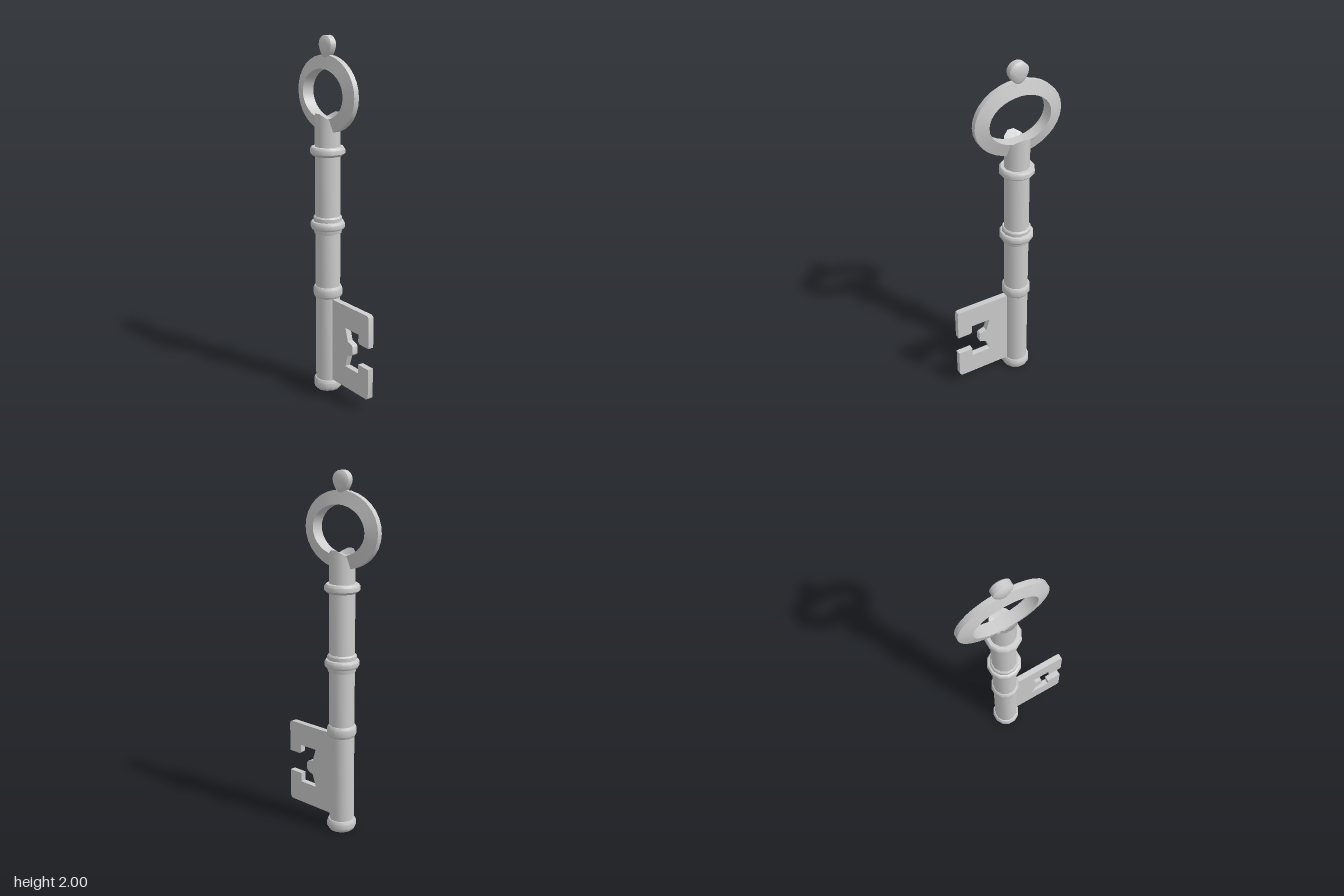
import * as THREE from 'three';
import { toCreasedNormals } from 'three/addons/utils/BufferGeometryUtils.js';

const SIDES = 12;
const AXIS_X = -0.07;
const material = new THREE.MeshStandardMaterial({ color: 0xcccccc });

function addMesh(group, name, geometry, x = 0, y = 0) {
  const mesh = new THREE.Mesh(toCreasedNormals(geometry, 0.62), material);
  mesh.name = name;
  mesh.position.set(x, y, 0);
  group.add(mesh);
}

// Turned part with twelve sides, a flat facing the front; profile is [radius, y]
function turned(profile) {
  const points = profile.map(([r, y]) => new THREE.Vector2(r, y));
  return new THREE.LatheGeometry(points, SIDES, Math.PI / SIDES);
}

// Skin over closed loops, each a function angle -> [x, y, z]
function loft(loops, segments) {
  const positions = [];
  const index = [];
  loops.forEach((loop, j) => {
    for (let i = 0; i < segments; i++) {
      positions.push(...loop((i / segments) * Math.PI * 2));
      if (j === loops.length - 1) continue;
      const a = j * segments + i;
      const b = j * segments + ((i + 1) % segments);
      index.push(a, b, b + segments, a, b + segments, a + segments);
    }
  });
  const geometry = new THREE.BufferGeometry();
  geometry.setAttribute('position', new THREE.Float32BufferAttribute(positions, 3));
  geometry.setIndex(index);
  return geometry;
}

// Shaft whose top is coped to a saddle, high at front and back
function shaftGeometry() {
  const geometry = turned([[0, 0.01], [0.07, 0.01], [0.07, 1.575], [0.036, 1.54], [0, 1.53]]);
  const p = geometry.attributes.position;
  for (let i = 0; i < p.count; i++) {
    if (p.getY(i) < 1.57) continue;
    const angle = Math.atan2(p.getX(i), p.getZ(i));
    p.setY(i, 1.575 + 0.023 * Math.cos(2 * angle));
  }
  return geometry;
}

// Flat toothed plate beside the lower shaft
function bitGeometry() {
  const outline = [
    [-0.07, 0.07], [0.3, 0.07], [0.312, 0.075], [0.317, 0.087],
    [0.317, 0.25], [0.23, 0.25], [0.23, 0.198], [0.115, 0.198],
    [0.137, 0.267], [0.175, 0.283], [0.182, 0.292], [0.182, 0.332], [0.175, 0.342],
    [0.137, 0.355], [0.115, 0.427], [0.23, 0.427], [0.23, 0.383], [0.24, 0.373],
    [0.317, 0.373], [0.317, 0.54], [0.312, 0.553], [0.3, 0.558], [-0.07, 0.558],
  ];
  const shape = new THREE.Shape(outline.map(([x, y]) => new THREE.Vector2(x, y)));
  const geometry = new THREE.ExtrudeGeometry(shape, { depth: 0.034, bevelEnabled: false });
  return geometry.translate(0, 0, -0.017);
}

// Oval bow, thick at the hole and thinner at the outer edge
function bowGeometry() {
  const oval = (rx, ry, z) => (t) => [rx * Math.cos(t), ry * Math.sin(t), z];
  const innerBack = oval(0.178, 0.133, -0.035);
  return loft([
    innerBack, oval(0.25, 0.205, -0.015),
    oval(0.25, 0.205, 0.015), oval(0.178, 0.133, 0.035), innerBack,
  ], 32);
}

// Flattened drop with domed faces
function finialGeometry() {
  const drop = (s, z) => (t) => {
    const c = Math.cos(t);
    const v = Math.sin(t);
    return [s * 0.054 * c * (1 + 0.22 * Math.min(0, v)), s * v * (v > 0 ? 0.05 : 0.066), z];
  };
  return loft([
    drop(0, -0.031), drop(0.5, -0.029), drop(0.8, -0.024), drop(1, -0.017),
    drop(1, 0.017), drop(0.8, 0.024), drop(0.5, 0.029), drop(0, 0.031),
  ], 20);
}

export function createModel() {
  const key = new THREE.Group();
  key.name = 'key';

  addMesh(key, 'shaft', shaftGeometry(), AXIS_X);

  // Collars along the shaft
  const collars = {
    endCap: [[0, 0], [0.07, 0], [0.082, 0.018], [0.082, 0.048], [0.075, 0.064], [0.06, 0.066]],
    lowerCollar: [[0.06, 0.558], [0.074, 0.56], [0.082, 0.574], [0.082, 0.61], [0.074, 0.625], [0.06, 0.627]],
    middleCollar: [
      [0.06, 0.93], [0.076, 0.932], [0.08, 0.955], [0.09, 0.957], [0.096, 0.967],
      [0.096, 0.988], [0.09, 0.999], [0.08, 1.002], [0.08, 1.022], [0.074, 1.03], [0.06, 1.03],
    ],
    upperCollar: [[0.06, 1.362], [0.08, 1.365], [0.096, 1.379], [0.096, 1.402], [0.088, 1.414], [0.06, 1.416]],
  };
  for (const [name, profile] of Object.entries(collars)) {
    addMesh(key, name, turned(profile), AXIS_X);
  }

  addMesh(key, 'bit', bitGeometry());
  addMesh(key, 'bow', bowGeometry(), AXIS_X, 1.695);
  addMesh(key, 'finial', finialGeometry(), AXIS_X, 1.95);
  return key;
}
